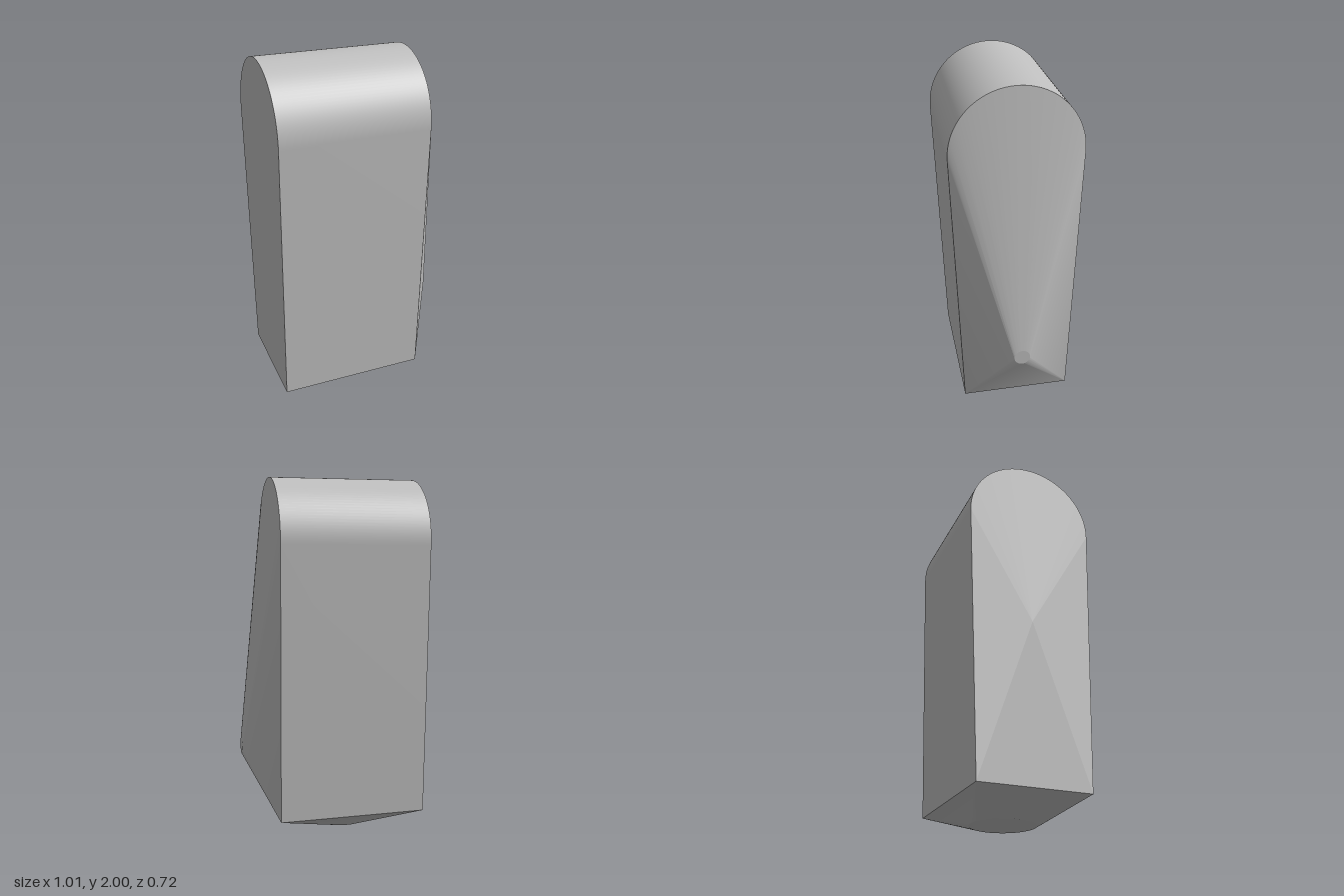
import * as THREE from 'three';
import { toCreasedNormals } from 'three/addons/utils/BufferGeometryUtils.js';

const BACK = -0.505, FRONT = 0.33, TIP = 0.505;  // stations along x
const BASE = 0.1, CORNER = 0.31;                 // lower edge height and half width
const R = 0.36, ARC_Y = 2 - R;                   // rounded top

// Skin between successive rings of equal length
function loft(rings) {
  const pos = [];
  const tri = (a, b, c) => {
    const area = b.clone().sub(a).cross(c.clone().sub(a)).length();
    if (area > 1e-8) pos.push(...a.toArray(), ...b.toArray(), ...c.toArray());
  };
  for (let k = 0; k + 1 < rings.length; k++) {
    const A = rings[k], B = rings[k + 1];
    for (let i = 0; i < A.length; i++) {
      const j = (i + 1) % A.length;
      tri(A[i], B[i], A[j]);
      tri(A[j], B[i], B[j]);
    }
  }
  const g = new THREE.BufferGeometry();
  g.setAttribute('position', new THREE.Float32BufferAttribute(pos, 3));
  return toCreasedNormals(g, 0.45);
}

// Outline samples {u, v, t}: an arc of given radius (0 = sharp corner) swept over normal angles t
function sweep(u, v, r, t0, t1, n) {
  return Array.from({ length: n + 1 }, (_, i) => {
    const t = t0 + (t1 - t0) * i / n;
    return { u: u + r * Math.cos(t), v: v + r * Math.sin(t), t };
  });
}

export function createModel() {
  const group = new THREE.Group();
  group.name = 'roundToppedBlock';
  const grey = new THREE.MeshStandardMaterial({ color: 0xbfbfbf });
  grey.name = 'light grey';
  const add = (name, rings) => {
    const m = new THREE.Mesh(loft(rings), grey);
    m.name = name;
    group.add(m);
  };

  // Arch outline (u = z, v = y); sides lean by a small angle, tangent to the top arc
  const dy = ARC_Y - BASE;
  const lean = Math.acos(R / Math.hypot(CORNER, dy)) - Math.atan2(dy, CORNER);
  const a = Math.abs(lean), PI = Math.PI;
  const arch = [
    ...sweep(0, ARC_Y, R, -a, PI + a, 64),
    ...sweep(-CORNER, BASE, 0, PI + a, 1.5 * PI, 14),
    ...sweep(CORNER, BASE, 0, 1.5 * PI, 2 * PI - a, 14),
  ];
  const archAt = x => arch.map(p => new THREE.Vector3(x, p.v, p.u));
  const tipY = 0.47, tipR = 0.045;
  const tipRing = arch.map(p => new THREE.Vector3(TIP, tipY + tipR * Math.sin(p.t), tipR * Math.cos(p.t)));
  const point = (ring, x, y, z) => ring.map(() => new THREE.Vector3(x, y, z));

  add('endWall', [point(arch, BACK, 1, 0), archAt(BACK)]);
  add('body', [archAt(BACK), archAt(FRONT)]);
  add('taperedEnd', [archAt(FRONT), tipRing]);
  add('endTip', [tipRing, point(arch, TIP, tipY, 0)]);

  // Underside: rectangle blending down to a round foot (u = x, v = -z)
  const cx = (BACK + FRONT) / 2, hx = (FRONT - BACK) / 2, footR = 0.18;
  const rect = [[1, 1], [-1, 1], [-1, -1], [1, -1]].flatMap(([sx, sv], i) =>
    sweep(cx + sx * hx, sv * CORNER, 0, i * PI / 2, (i + 1) * PI / 2, 16));
  const rectRing = rect.map(p => new THREE.Vector3(p.u, BASE, -p.v));
  const footRing = rect.map(p => new THREE.Vector3(cx + footR * Math.cos(p.t), 0, -footR * Math.sin(p.t)));
  add('taperedBase', [rectRing, footRing]);
  add('foot', [footRing, point(rect, cx, 0, 0)]);

  return group;
}
